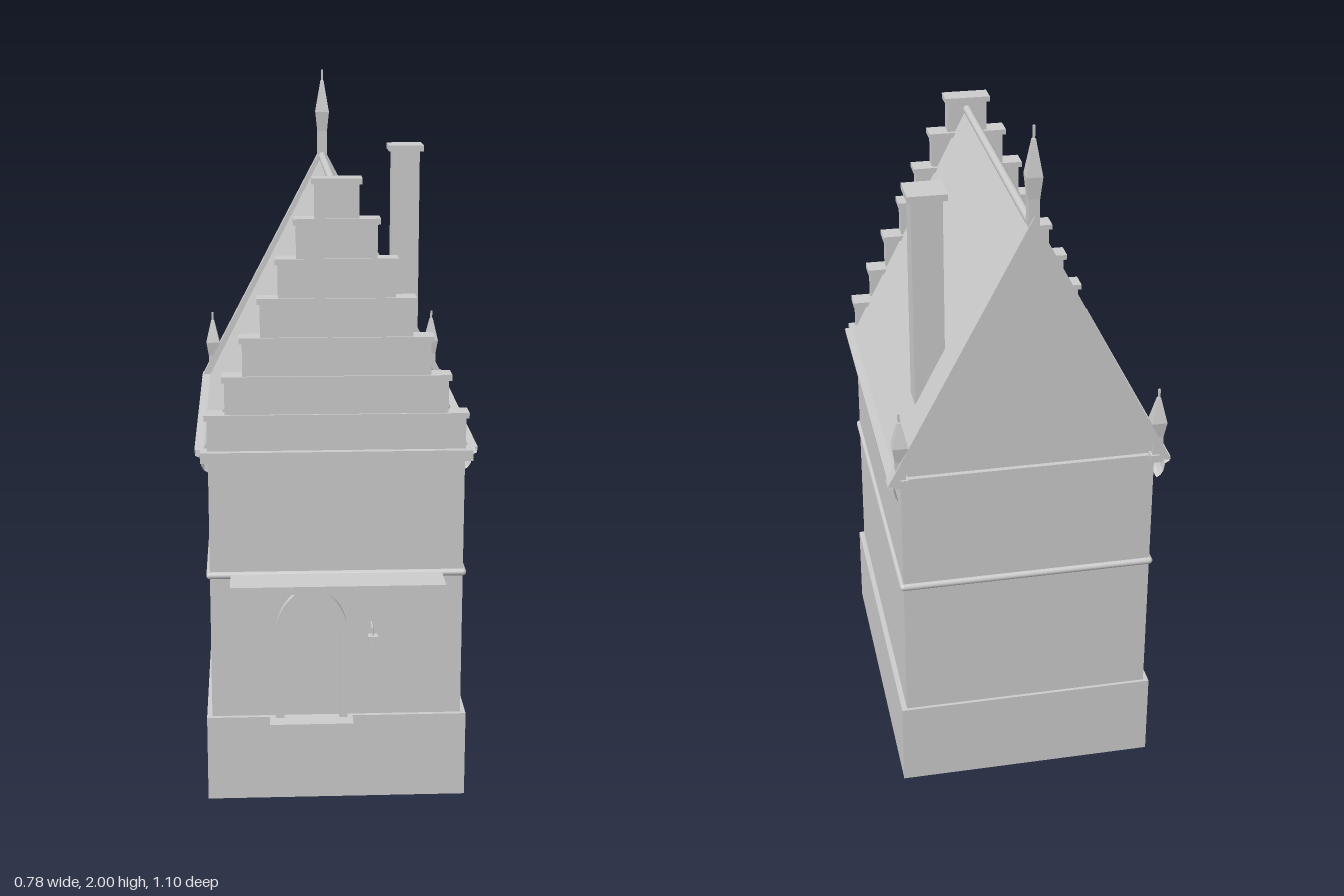
import * as THREE from 'three';

const grey = new THREE.MeshStandardMaterial({ color: 0xcccccc, flatShading: true });
const greyOpen = new THREE.MeshStandardMaterial({ color: 0xcccccc, flatShading: true, side: THREE.DoubleSide });
const greySmooth = new THREE.MeshStandardMaterial({ color: 0xcccccc });

export function createModel() {
  const model = new THREE.Group();

  function add(name, geometry, material = grey, parent = model) {
    const mesh = new THREE.Mesh(geometry, material);
    mesh.name = name;
    parent.add(mesh);
    return mesh;
  }
  // box given by its limits on each axis
  function box(name, x0, x1, y0, y1, z0, z1, parent) {
    const g = new THREE.BoxGeometry(x1 - x0, y1 - y0, z1 - z0);
    return add(name, g.translate((x0 + x1) / 2, (y0 + y1) / 2, (z0 + z1) / 2), grey, parent);
  }
  // outline in x and y pushed from z0 to z1
  function slab(name, shape, z0, z1) {
    const g = new THREE.ExtrudeGeometry(shape, { depth: z1 - z0, bevelEnabled: false, curveSegments: 12 });
    return add(name, g.translate(0, 0, z0));
  }
  const polygon = (pts) => new THREE.Shape(pts.map(([x, y]) => new THREE.Vector2(x, y)));
  // round bar between two points
  function bar(name, a, b, r, parent) {
    const va = new THREE.Vector3(...a), vb = new THREE.Vector3(...b);
    const mesh = add(name, new THREE.CylinderGeometry(r, r, va.distanceTo(vb), 12), greySmooth, parent);
    mesh.position.copy(va).lerp(vb, 0.5);
    mesh.quaternion.setFromUnitVectors(new THREE.Vector3(0, 1, 0), vb.sub(va).normalize());
    return mesh;
  }

  // plinth, hollow and open below
  const R = Math.SQRT2;
  const plinth = new THREE.LatheGeometry(
    [[R, 0], [R, 0.25], [0, 0.25]].map(([x, y]) => new THREE.Vector2(x, y)), 4);
  plinth.rotateY(Math.PI / 4).scale(0.368, 1, 0.485).translate(0, 0, -0.038);
  add('plinth', plinth, greyOpen);

  // walls
  box('walls', -0.353, 0.353, 0.251, 1.03, -0.515, 0.437);

  // round string course on all four walls
  const course = new THREE.Group();
  course.name = 'stringCourse';
  model.add(course);
  const corners = [[-0.353, -0.515], [0.353, -0.515], [0.353, 0.437], [-0.353, 0.437]];
  corners.forEach(([x, z], i) => {
    const [x2, z2] = corners[(i + 1) % 4];
    bar('courseRail', [x, 0.673, z], [x2, 0.673, z2], 0.01, course);
    const knob = add('courseCorner', new THREE.SphereGeometry(0.01, 12, 8), greySmooth, course);
    knob.position.set(x, 0.673, z);
  });

  // roof with ridge roll
  slab('roof', polygon([[-0.365, 1.03], [0.365, 1.03], [0, 1.738]]), -0.518, 0.4);
  bar('ridgeRoll', [0, 1.733, -0.53], [0, 1.733, 0.4], 0.012);

  // moulded eaves along both sides
  const eaveProfile = [[0.353, 0.965], [0.364, 0.972], [0.372, 0.985], [0.376, 1.008],
    [0.388, 1.014], [0.39, 1.03], [0.36, 1.03]];
  for (const side of [-1, 1]) {
    const pos = [], index = [];
    eaveProfile.forEach(([x, y], i) => {
      pos.push(side * x, y, -0.545, side * x, y, 0.417);
      const a = 2 * i;
      if (i) {
        if (side > 0) index.push(a - 2, a, a - 1, a - 1, a, a + 1);
        else index.push(a - 2, a - 1, a, a - 1, a + 1, a);
      }
    });
    const g = new THREE.BufferGeometry();
    g.setAttribute('position', new THREE.Float32BufferAttribute(pos, 3));
    g.setIndex(index);
    g.computeVertexNormals();
    add(side > 0 ? 'leftEaves' : 'rightEaves', g, greyOpen);
  }

  // stepped front gable with coping stones
  box('gableBand', -0.374, 0.374, 1.0, 1.03, 0.38, 0.453);
  for (let i = 0; i < 7; i++) {
    const half = 0.363 - i * 0.0493, top = 1.132 + i * 0.1067;
    const inner = half - 0.008;
    box('gableStep', -inner, inner, i ? top - 0.1067 : 1.03, top - 0.016, 0.389, 0.434);
    box('coping', -half, half, top - 0.016, top, 0.377, 0.44);
  }

  // rear verge in two layers, with a rail at its foot
  function verge(name, half, apex, width, z0, z1) {
    const inHalf = half - width, inApex = apex - width * apex / half * 0.95;
    slab(name, polygon([[half, 1.02], [0, apex], [-half, 1.02],
      [-inHalf, 1.02], [0, inApex], [inHalf, 1.02]]), z0, z1);
  }
  verge('verge', 0.392, 1.765, 0.024, -0.546, -0.507);
  verge('vergeMoulding', 0.37, 1.72, 0.018, -0.532, -0.51);
  box('rearRail', -0.375, 0.375, 1.005, 1.03, -0.532, -0.51);

  // square finials on the rear gable
  function finial(name, x, y, h, neck) {
    const profile = [[neck, 0], [neck, 0.3 * h], [0.021, 0.52 * h], [0.005, 0.87 * h],
      [0.003, 0.88 * h], [0.003, h], [0, h]];
    const g = new THREE.LatheGeometry(profile.map(([r, yy]) => new THREE.Vector2(r * R, yy)), 4);
    add(name, g.rotateY(Math.PI / 4).translate(x, y, -0.526));
  }
  finial('ridgeFinial', 0, 1.73, 0.27, 0.015);
  for (const side of [-1, 1]) {
    finial('eavesFinial', side * 0.355, 1.03, 0.2, 0.014);
    box('finialBase', side * 0.355 - 0.02, side * 0.355 + 0.02, 1.02, 1.035, -0.546, -0.507);
  }

  // chimney
  box('chimney', 0.206, 0.29, 1.17, 1.77, -0.388, -0.31);
  box('chimneyCap', 0.195, 0.301, 1.767, 1.785, -0.402, -0.297);

  // pointed doorway surround, step and canopy
  const cx = -0.071;
  function trace(path, half, top) {
    const spring = 0.5, rise = top - spring;
    path.moveTo(cx - half, 0.25);
    path.lineTo(cx + half, 0.25);
    path.lineTo(cx + half, spring);
    path.quadraticCurveTo(cx + half, spring + rise * 0.68, cx, top);
    path.quadraticCurveTo(cx - half, spring + rise * 0.68, cx - half, spring);
    path.closePath();
    return path;
  }
  const surround = trace(new THREE.Shape(), 0.101, 0.648);
  surround.holes.push(trace(new THREE.Path(), 0.078, 0.62));
  slab('doorSurround', surround, 0.43, 0.457);
  box('doorStep', -0.19, 0.045, 0.18, 0.249, 0.41, 0.5);
  box('canopy', -0.296, 0.294, 0.655, 0.677, 0.43, 0.552);

  // lantern on a thin bracket
  box('lantern', 0.085, 0.112, 0.47, 0.508, 0.473, 0.5);
  bar('lanternBracket', [0.098, 0.528, 0.43], [0.098, 0.528, 0.487], 0.003);
  bar('lanternHook', [0.098, 0.528, 0.487], [0.098, 0.508, 0.487], 0.002);

  return model;
}
